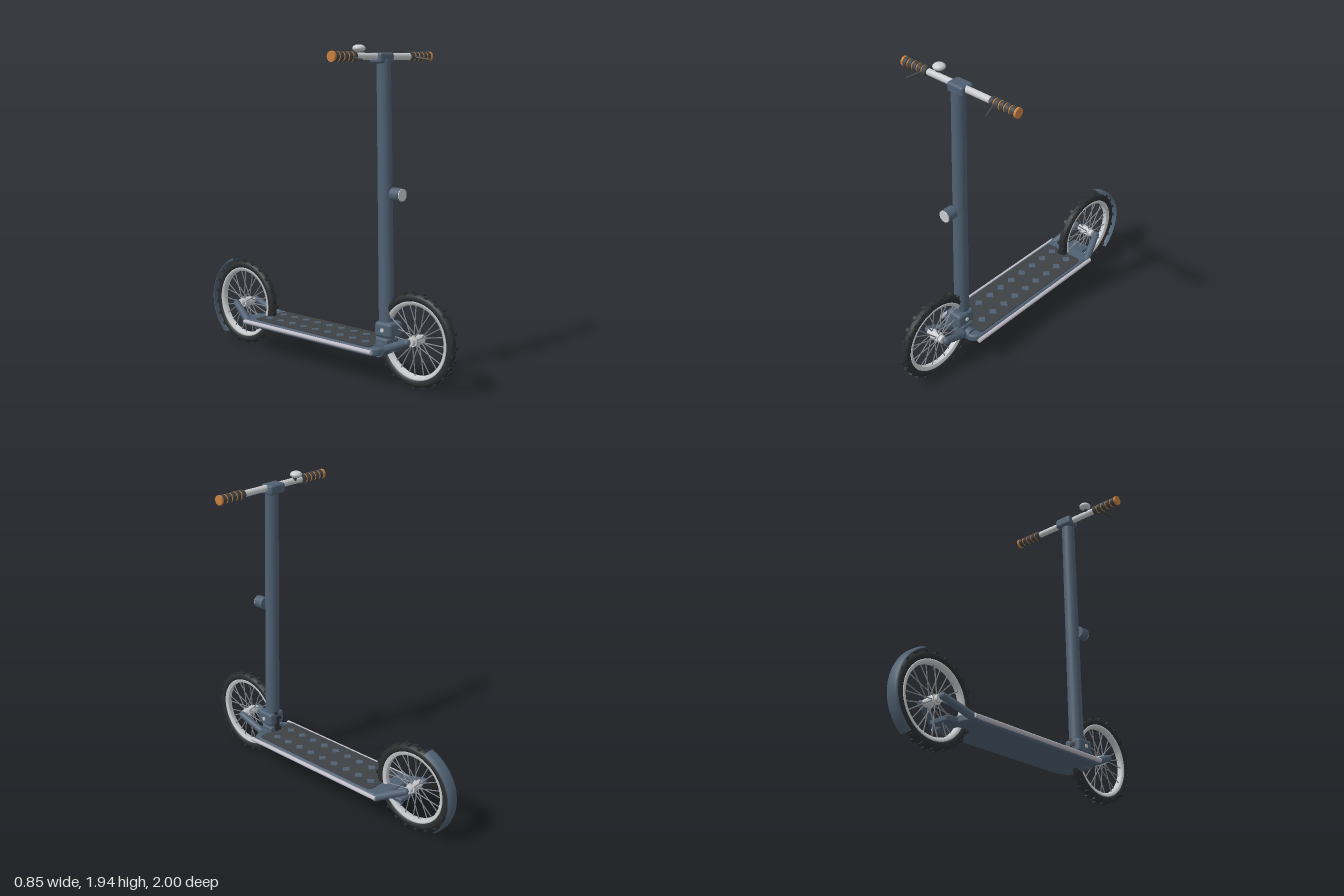
import * as THREE from 'three';
import { mergeGeometries } from 'three/addons/utils/BufferGeometryUtils.js';
import { RoundedBoxGeometry } from 'three/addons/geometries/RoundedBoxGeometry.js';

const paint = (name, color, side = THREE.FrontSide) => {
  const m = new THREE.MeshStandardMaterial({ color, side });
  m.name = name;
  return m;
};
const V = (x, y, z) => new THREE.Vector3(x, y, z);

// Cylinder running from point a to point b
function rodGeo(a, b, r, r2 = r, sides = 20) {
  const d = b.clone().sub(a);
  const g = new THREE.CylinderGeometry(r2, r, d.length(), sides);
  g.applyQuaternion(new THREE.Quaternion().setFromUnitVectors(V(0, 1, 0), d.normalize()));
  const c = a.clone().add(b).multiplyScalar(0.5);
  return g.translate(c.x, c.y, c.z);
}

// Rounded plan outline of the deck, drawn in x and -z
function deckShape(w, z0, z1, r) {
  const s = new THREE.Shape();
  s.moveTo(-w + r, -z1);
  s.lineTo(w - r, -z1);
  s.quadraticCurveTo(w, -z1, w, -z1 + r);
  s.lineTo(w, -z0 - r);
  s.quadraticCurveTo(w, -z0, w - r, -z0);
  s.lineTo(-w + r, -z0);
  s.quadraticCurveTo(-w, -z0, -w, -z0 - r);
  s.lineTo(-w, -z1 + r);
  s.quadraticCurveTo(-w, -z1, -w + r, -z1);
  return s;
}

export function createModel() {
  const slate = paint('slate paint', 0x4f6072);
  const fenderPaint = paint('fender slate', 0x4f6072, THREE.DoubleSide);
  const rubber = paint('tyre rubber', 0x2b2d2f);
  const gripPaint = paint('dark grip', 0x3f4245);
  const silver = paint('silver', 0xc9cbce);
  const steel = paint('spoke steel', 0x80868e);
  const railPaint = paint('rail aluminium', 0xbdbac4);
  const orange = paint('orange', 0xc8803f);

  const model = new THREE.Group();
  model.name = 'kickScooter';
  const add = (name, geo, mat, parent = model) => {
    const m = new THREE.Mesh(geo, mat);
    m.name = name;
    parent.add(m);
    return m;
  };
  const rod = (name, a, b, r, mat, parent, r2, sides) => add(name, rodGeo(a, b, r, r2, sides), mat, parent);
  const block = (name, w, h, d, x, y, z, r = 0.012) =>
    add(name, new RoundedBoxGeometry(w, h, d, 3, r).translate(x, y, z), slate);

  // Wheels: tyre, tread, rim, spokes, hub
  function wheel(name, z) {
    const g = new THREE.Group();
    g.name = name;
    g.position.set(0, 0.278, z);
    model.add(g);
    add('tyre', new THREE.TorusGeometry(0.246, 0.027, 14, 64).rotateY(Math.PI / 2), rubber, g);
    const knobs = [];
    const count = 44;
    for (let i = 0; i < count; i++) {
      const a = (i / count) * Math.PI * 2;
      const side = i % 2 ? 1 : -1;
      knobs.push(new THREE.BoxGeometry(0.026, 0.012, 0.02)
        .translate(side * 0.01, 0.271, 0).rotateX(a));
    }
    add('tread', mergeGeometries(knobs), rubber, g);
    const rim = [[0.204, -0.014], [0.222, -0.022], [0.228, -0.02], [0.228, 0.02],
      [0.222, 0.022], [0.204, 0.014], [0.204, -0.014]].map(p => new THREE.Vector2(...p));
    add('rim', new THREE.LatheGeometry(rim, 64).rotateZ(Math.PI / 2), silver, g);
    const spokes = [];
    for (let i = 0; i < 24; i++) {
      const a = (i / 24) * Math.PI * 2;
      const b = a + (i % 4 < 2 ? 0.18 : -0.18);
      const x = i % 2 ? 0.026 : -0.026;
      spokes.push(rodGeo(V(x, 0.026 * Math.sin(b), 0.026 * Math.cos(b)),
        V(x * 0.2, 0.208 * Math.sin(a), 0.208 * Math.cos(a)), 0.0035, 0.0035, 6));
    }
    add('spokes', mergeGeometries(spokes), steel, g);
    rod('valve', V(0, 0.175, 0), V(0, 0.208, 0), 0.006, gripPaint, g);
    rod('hub', V(-0.035, 0, 0), V(0.035, 0, 0), 0.03, silver, g);
    rod('axle', V(-0.058, 0, 0), V(0.058, 0, 0), 0.023, silver, g);
    return g;
  }
  wheel('frontWheel', 0.722);
  const rear = wheel('rearWheel', -0.702);

  // Rear fender: shallow curved strip wrapped round the back of the wheel
  const strip = [[0.283, -0.043], [0.29, -0.034], [0.297, -0.018], [0.297, 0.018], [0.29, 0.034],
    [0.283, 0.043], [0.285, 0.034], [0.291, 0.018], [0.291, -0.018], [0.285, -0.034], [0.283, -0.043]]
    .map(p => new THREE.Vector2(...p));
  add('rearFender', new THREE.LatheGeometry(strip, 32, THREE.MathUtils.degToRad(110),
    THREE.MathUtils.degToRad(121)).rotateZ(Math.PI / 2), fenderPaint, rear);

  // Deck with bevelled belly, grip pad and diamond studs
  add('deck', new THREE.ExtrudeGeometry(deckShape(0.14, -0.555, 0.53, 0.07), {
    depth: 0.022, bevelEnabled: true, bevelThickness: 0.013, bevelSize: 0.016, bevelSegments: 4, curveSegments: 10,
  }).rotateX(-Math.PI / 2).translate(0, 0.184, 0), slate);
  add('gripPad', new THREE.ExtrudeGeometry(deckShape(0.138, -0.475, 0.48, 0.03), {
    depth: 0.006, bevelEnabled: false,
  }).rotateX(-Math.PI / 2).translate(0, 0.218, 0), gripPaint);
  const studs = [];
  for (let i = 0; i < 9; i++) {
    for (const s of [-1, 1]) {
      studs.push(new THREE.BoxGeometry(0.041, 0.005, 0.041).rotateY(Math.PI / 4)
        .translate(s * 0.062, 0.2255, -0.418 + i * 0.1015));
    }
  }
  add('diamondStuds', mergeGeometries(studs), slate);

  // Rear mount and front cross bracket
  const tail = block('rearMount', 0.13, 0.03, 0.13, 0, 0, 0, 0.008);
  tail.position.set(0, 0.188, -0.595);
  tail.rotation.x = -0.12;
  rod('frontCrossBar', V(-0.09, 0.197, 0.51), V(0.09, 0.197, 0.51), 0.04, slate);
  block('lowerBracket', 0.11, 0.09, 0.09, 0, 0.215, 0.505);

  for (const s of [-1, 1]) {
    const side = s > 0 ? 'left' : 'right';
    // Side rails and wheel arms
    rod(side + 'Rail', V(s * 0.163, 0.2, -0.545), V(s * 0.163, 0.2, 0.525), 0.013, railPaint);
    const arms = [
      ['FrontArm', V(s * 0.052, 0.195, 0.52), V(s * 0.076, 0.278, 0.715)],
      ['RearArm', V(s * 0.142, 0.195, -0.53), V(s * 0.084, 0.282, -0.705)],
    ];
    for (const [n, a, b] of arms) {
      rod(side + n, a, b, 0.025, slate, model, 0.021);
      for (const [p, r] of [[a, 0.025], [b, 0.021]]) {
        add(side + n + 'End', new THREE.SphereGeometry(r, 16, 12).translate(p.x, p.y, p.z), slate);
      }
    }
    // Handle grips with ribs, orange rings and end caps
    const gx = x => V(s * x, 1.875, 0.455);
    rod(side + 'Grip', gx(0.235), gx(0.415), 0.025, gripPaint);
    for (let i = 0; i < 5; i++) {
      const x = 0.25 + i * 0.037;
      rod(side + 'GripRib', gx(x - 0.011), gx(x + 0.011), 0.029, gripPaint);
      if (i < 4) rod(side + 'GripRing', gx(x + 0.016), gx(x + 0.021), 0.028, orange);
    }
    rod(side + 'GripCap', gx(0.413), gx(0.427), 0.03, orange);
    // Brake lever
    rod(side + 'BrakeLever', V(s * 0.265, 1.872, 0.46), V(s * 0.298, 1.855, 0.562), 0.009, gripPaint, model, 0.007);
    // Clamp bolts
    rod(side + 'ClampBolt', V(s * 0.055, 0.312, 0.52), V(s * 0.066, 0.312, 0.52), 0.012, silver);
  }

  // Steering column, clamps and handlebar
  rod('steeringColumn', V(0, 0.2, 0.506), V(0, 1.86, 0.464), 0.046, slate, model, 0.041, 32);
  block('lowerClamp', 0.12, 0.09, 0.125, 0, 0.312, 0.518, 0.02);
  block('handlebarClamp', 0.12, 0.062, 0.092, 0, 1.866, 0.45, 0.016);
  rod('handlebar', V(-0.42, 1.875, 0.455), V(0.42, 1.875, 0.455), 0.02, silver);

  // Bell
  add('bell', new THREE.SphereGeometry(0.037, 24, 16).scale(1, 0.58, 1).translate(-0.175, 1.92, 0.432), silver);
  rod('bellMount', V(-0.175, 1.875, 0.45), V(-0.175, 1.915, 0.435), 0.012, gripPaint);

  // Headlamp
  rod('headlamp', V(0, 1.1, 0.542), V(0, 1.1, 0.606), 0.039, slate, model, 0.039, 28);
  rod('headlampLens', V(0, 1.1, 0.604), V(0, 1.1, 0.612), 0.036, silver, model, 0.036, 28);
  return model;
}
